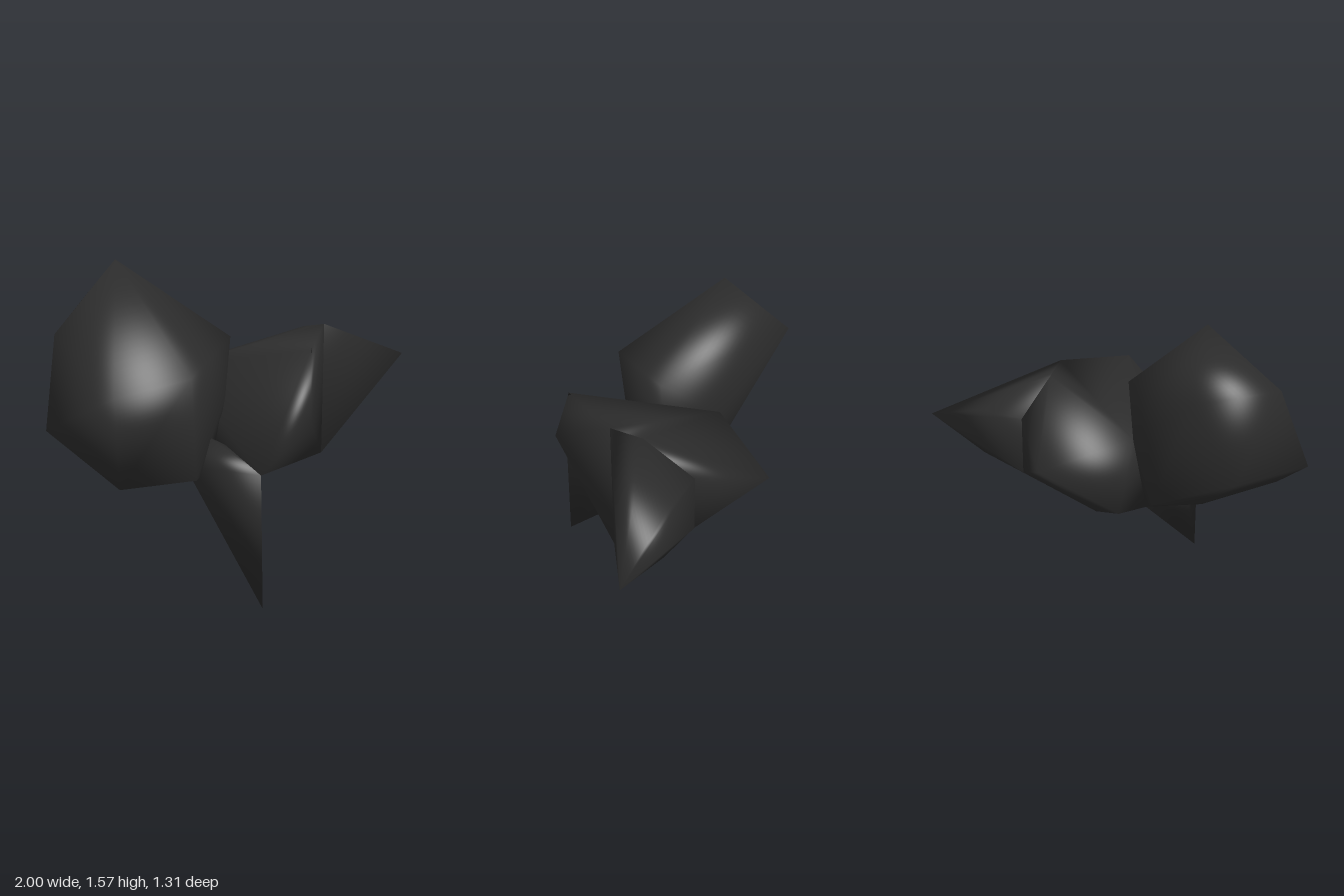
import * as THREE from 'three';
import { ConvexGeometry } from 'three/addons/geometries/ConvexGeometry.js';
import { mergeVertices } from 'three/addons/utils/BufferGeometryUtils.js';

// Corners shared by neighbouring chunks
const brow = [0.25, 1.2, 0.42];
const chin = [0.25, 0.49, 0.43];
const ridge = [0.3, 1.15, 0.27];
const notchTop = [0.44, 0.98, 0.05];
const notchBottom = [0.44, 0.68, 0.05];
const belly = [0.05, 0.475, 0];
const crotch = [-0.22, 0.48, 0.05];
const shoulder = [-0.54, 0.7, 0.57];
const jaw = [-0.17, 0.57, 0.3];
const saddle = [-0.14, 0.96, -0.22];

const chunks = {
  // Middle block with the short rear point and an overhanging front corner
  core: [
    brow, chin, ridge, notchTop, notchBottom, belly, crotch, jaw, saddle, shoulder,
    [-0.24, 0.87, 0.65], [-0.13, 1.19, 0.57], [0.33, 0.84, -0.36], [-0.07, 0.54, -0.18],
  ],
  // Long point to the side, with a flat back edge
  sideSpike: [
    [1, 0.86, 0.51], brow, chin, ridge, notchTop, notchBottom, belly,
    [0.67, 0.965, 0.25], [0.67, 0.72, 0.25],
  ],
  // Downward point that touches the ground
  footSpike: [
    [-0.54, 0, 0.59], shoulder, crotch, jaw, [-0.44, 0.57, 0.05], [-0.45, 0.77, 0.2],
  ],
  // Large raised block at the back
  backBlock: [
    [-0.48, 1.57, -0.32], [-0.39, 1.28, -0.66], [-0.83, 1.27, -0.4],
    [-1, 0.86, -0.32], [-0.62, 0.85, -0.55], [-0.88, 1.05, 0],
    [-0.92, 0.63, 0.05], [-0.62, 1.12, 0.24], [-0.54, 0.57, 0.2], [-0.36, 0.95, 0.24],
    [-0.12, 1.17, 0.1], [-0.48, 0.67, -0.35], [-0.24, 0.6, -0.2], saddle, crotch,
  ],
};

// Triangles of a softly shaded convex hull, plus the planes that bound it
function makeHull(corners) {
  const raw = new ConvexGeometry(corners.map((c) => new THREE.Vector3(...c)));
  raw.deleteAttribute('normal');
  const welded = mergeVertices(raw, 1e-4);
  welded.computeVertexNormals();
  const geometry = welded.toNonIndexed();
  const { position, normal } = geometry.attributes;
  const triangles = [];
  const planes = [];
  for (let i = 0; i < position.count; i += 3) {
    const tri = [i, i + 1, i + 2].map((k) => ({
      p: new THREE.Vector3().fromBufferAttribute(position, k),
      n: new THREE.Vector3().fromBufferAttribute(normal, k),
    }));
    triangles.push(tri);
    planes.push(new THREE.Plane().setFromCoplanarPoints(tri[0].p, tri[1].p, tri[2].p));
  }
  return { triangles, planes };
}

const midpoint = (a, b) => ({
  p: a.p.clone().lerp(b.p, 0.5),
  n: a.n.clone().lerp(b.n, 0.5),
});

const isInside = (point, hull) => hull.planes.every((pl) => pl.distanceToPoint(point) < 1e-4);

// Split a triangle finely and keep only the pieces not buried in another chunk
function collectVisible(tri, others, depth, kept) {
  if (others.some((h) => tri.every((v) => isInside(v.p, h)))) return;
  if (depth === 0) {
    kept.push(...tri);
    return;
  }
  const [a, b, c] = tri;
  const ab = midpoint(a, b), bc = midpoint(b, c), ca = midpoint(c, a);
  for (const part of [[a, ab, ca], [ab, b, bc], [ca, bc, c], [ab, bc, ca]]) {
    collectVisible(part, others, depth - 1, kept);
  }
}

export function createModel() {
  const group = new THREE.Group();
  group.name = 'jaggedRock';
  const darkStone = new THREE.MeshStandardMaterial({ color: 0x2b2b2b });
  darkStone.name = 'dark stone';

  const names = Object.keys(chunks);
  const hulls = names.map((name) => makeHull(chunks[name]));
  hulls.forEach((hull, i) => {
    const others = hulls.filter((h) => h !== hull);
    const kept = [];
    for (const tri of hull.triangles) collectVisible(tri, others, 4, kept);
    const geometry = new THREE.BufferGeometry().setFromPoints(kept.map((v) => v.p));
    const normals = kept.flatMap((v) => v.n.clone().normalize().toArray());
    geometry.setAttribute('normal', new THREE.Float32BufferAttribute(normals, 3));
    const mesh = new THREE.Mesh(geometry, darkStone);
    mesh.name = names[i];
    group.add(mesh);
  });
  return group;
}
